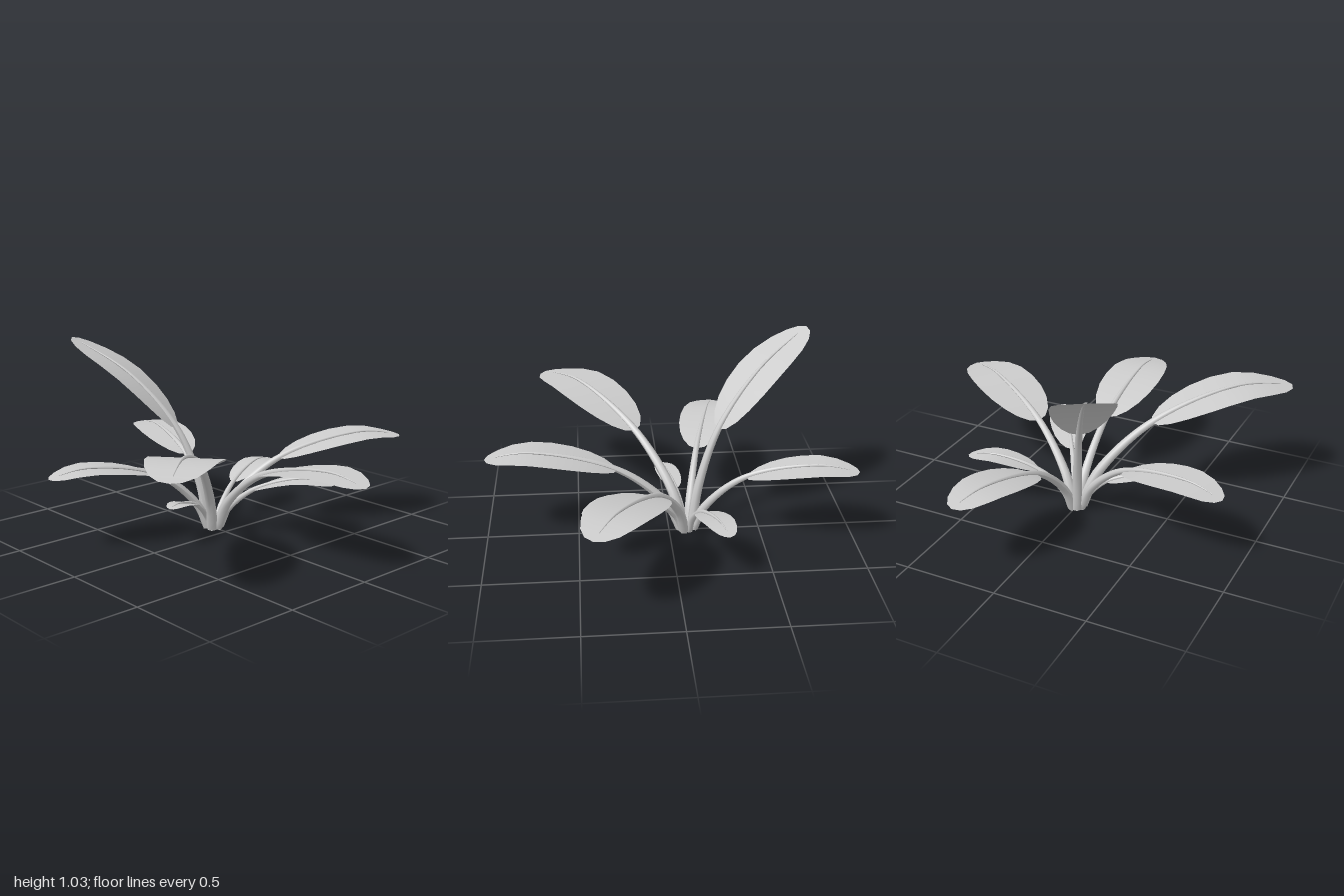
import * as THREE from 'three';

const grey = new THREE.MeshStandardMaterial({ color: 0xcccccc });
const thin = new THREE.MeshStandardMaterial({ color: 0xcccccc, side: THREE.DoubleSide });

// Rib in the leaf's own upright plane: [distance, height] at blade start, crest and tip.
// The stem rises steeply from the foot, then bends outwards.
function ribCurve(start, crest, tip) {
  const foot = [0.035, 0.015];
  const bend = [
    THREE.MathUtils.lerp(foot[0], start[0], 0.23),
    THREE.MathUtils.lerp(foot[1], start[1], 0.42),
  ];
  return new THREE.CatmullRomCurve3(
    [foot, bend, start, crest, tip].map(([r, y]) => new THREE.Vector3(0, y, r)));
}

// Tapered tube that thins along the leaf into the midrib
function stemGeometry(curve, u0, size) {
  const rings = 28, sides = 8, end = 0.95;
  const path = new THREE.CatmullRomCurve3(
    Array.from({ length: rings + 1 }, (_, i) => curve.getPointAt((i / rings) * end)));
  const geo = new THREE.TubeGeometry(path, rings, 1, sides);
  const pos = geo.attributes.position, v = new THREE.Vector3();
  for (let i = 0; i <= rings; i++) {
    const u = (i / rings) * end, centre = path.getPointAt(i / rings);
    const radius = u < u0
      ? THREE.MathUtils.lerp(0.029, 0.018, u / u0)
      : THREE.MathUtils.lerp(0.018, 0.002, (u - u0) / (end - u0));
    for (let j = 0; j <= sides; j++) {
      const k = i * (sides + 1) + j;
      v.fromBufferAttribute(pos, k).sub(centre).multiplyScalar(radius * size).add(centre);
      pos.setXYZ(k, v.x, v.y, v.z);
    }
  }
  geo.computeVertexNormals();
  return geo;
}

// Oval sheet following the upper part of the rib
function bladeGeometry(curve, u0, half) {
  const rows = 10, cols = 4;
  const geo = new THREE.PlaneGeometry(1, 1, cols, rows);
  const pos = geo.attributes.position;
  for (let i = 0; i <= rows; i++) {
    const a = (Math.PI * i) / rows;
    const p = curve.getPointAt(Math.min(1, u0 + (1 - u0) * (1 - Math.cos(a)) / 2));
    for (let j = 0; j <= cols; j++) {
      const side = 1 - (2 * j) / cols;
      pos.setXYZ(i * (cols + 1) + j, side * half * Math.sin(a), p.y - 0.004, p.z);
    }
  }
  geo.computeVertexNormals();
  return geo;
}

// heading in degrees from the front; size scales the stem; half is half the blade width
function makeLeaf(name, heading, size, half, start, crest, tip) {
  const leaf = new THREE.Group();
  leaf.name = name;
  const curve = ribCurve(start, crest, tip);
  let u0 = 0;
  while (curve.getPointAt(u0).z < start[0]) u0 += 0.005;

  const stem = new THREE.Mesh(stemGeometry(curve, u0, size), grey);
  stem.name = 'stem';
  const blade = new THREE.Mesh(bladeGeometry(curve, u0, half), thin);
  blade.name = 'blade';

  // Closed foot of the stem
  const foot = new THREE.Mesh(new THREE.CircleGeometry(0.029 * size, 8), thin);
  foot.name = 'stemFoot';
  foot.position.copy(curve.getPointAt(0));
  foot.quaternion.setFromUnitVectors(new THREE.Vector3(0, 0, 1), curve.getTangentAt(0).negate());

  leaf.add(stem, blade, foot);
  leaf.rotation.y = THREE.MathUtils.degToRad(heading);
  leaf.position.z = -0.1;
  return leaf;
}

export function createModel() {
  const plant = new THREE.Group();
  plant.name = 'leafyPlant';
  plant.add(
    makeLeaf('frontLeaf', 0, 1, 0.165, [0.38, 0.385], [0.85, 0.502], [1.09, 0.475]),
    makeLeaf('smallFrontLeaf', 32.7, 0.7, 0.105, [0.23, 0.24], [0.48, 0.32], [0.68, 0.305]),
    makeLeaf('leftLeaf', 60.7, 1, 0.175, [0.37, 0.38], [0.84, 0.505], [1.08, 0.48]),
    makeLeaf('smallLeftLeaf', 105.5, 0.7, 0.085, [0.21, 0.215], [0.45, 0.285], [0.605, 0.27]),
    makeLeaf('backLeaf', 166.6, 0.9, 0.145, [0.32, 0.35], [0.71, 0.446], [0.925, 0.425]),
    makeLeaf('tallBackLeaf', -149.4, 1, 0.165, [0.21, 0.56], [0.48, 0.845], [0.82, 1.035]),
    makeLeaf('rightBackLeaf', -104.5, 0.9, 0.14, [0.33, 0.35], [0.73, 0.44], [0.94, 0.41]),
    makeLeaf('smallRightLeaf', -73.6, 0.65, 0.066, [0.17, 0.18], [0.34, 0.235], [0.425, 0.23]),
    makeLeaf('rightFrontLeaf', -50.6, 1.1, 0.185, [0.42, 0.475], [0.9, 0.643], [1.22, 0.62]),
  );
  return plant;
}
